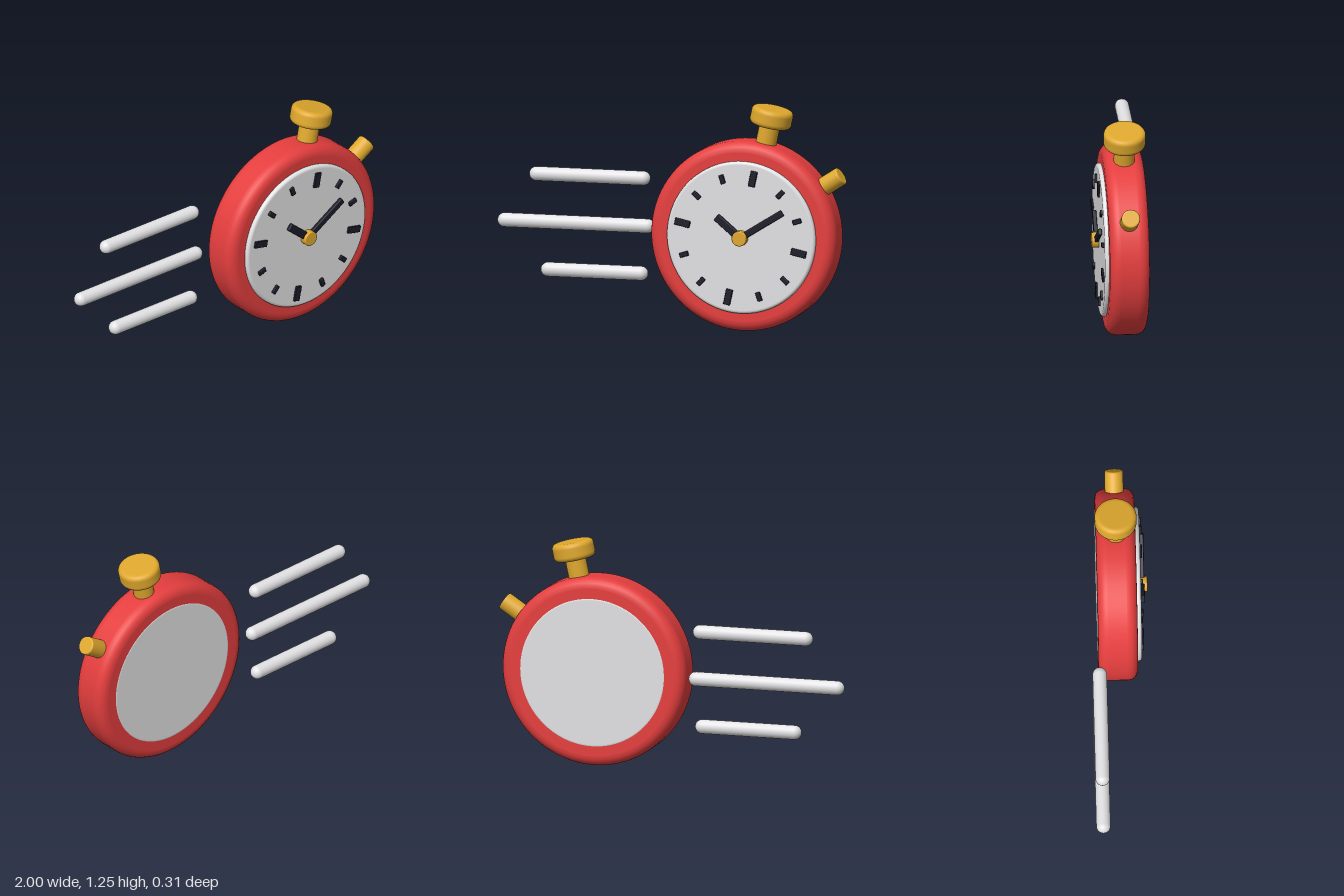
import * as THREE from 'three';
import { RoundedBoxGeometry } from 'three/addons/geometries/RoundedBoxGeometry.js';

const material = (name, color) => {
  const m = new THREE.MeshStandardMaterial({ color });
  m.name = name;
  return m;
};

// Disc with rounded edges, axis along y, from y0 to y1
function roundedDisc(radius, y0, y1, bevel, segments = 64) {
  const pts = [new THREE.Vector2(0, y0), new THREE.Vector2(radius - bevel - 0.003, y0)];
  const arc = (cy, start) => {
    for (let i = 0; i <= 6; i++) {
      const a = start + (i / 6) * Math.PI / 2;
      pts.push(new THREE.Vector2(radius - bevel + bevel * Math.cos(a), cy + bevel * Math.sin(a)));
    }
  };
  arc(y0 + bevel, -Math.PI / 2);
  pts.push(new THREE.Vector2(radius, y0 + bevel + 0.003));
  pts.push(new THREE.Vector2(radius, y1 - bevel - 0.003));
  arc(y1 - bevel, 0);
  pts.push(new THREE.Vector2(radius - bevel - 0.003, y1), new THREE.Vector2(0, y1));
  return new THREE.LatheGeometry(pts, segments);
}

export function createModel() {
  const red = material('red case', 0xe53e3e);
  const white = material('white enamel', 0xe2e2e4);
  const gold = material('gold metal', 0xdfa82e);
  const dark = material('dark ink', 0x1c1c2a);

  const model = new THREE.Group();
  model.name = 'speedingStopwatch';
  const add = (parent, name, geometry, mat) => {
    const mesh = new THREE.Mesh(geometry, mat);
    mesh.name = name;
    parent.add(mesh);
    return mesh;
  };

  // The watch leans 12 degrees clockwise about its centre
  const watch = new THREE.Group();
  watch.name = 'watch';
  watch.position.set(0.44, 0.527, 0);
  watch.rotation.z = THREE.MathUtils.degToRad(-12);
  model.add(watch);

  // Case, and a dial disc that runs through to the back
  add(watch, 'case', roundedDisc(0.524, -0.121, 0.096, 0.055, 96).rotateX(Math.PI / 2), red);
  add(watch, 'dial', roundedDisc(0.42, -0.1225, 0.119, 0.016, 96).rotateX(Math.PI / 2), white);

  // Hour marks, larger at each quarter
  for (let i = 0; i < 12; i++) {
    const big = i % 3 === 0;
    const a = i * Math.PI / 6;
    const mark = add(watch, 'hourMark',
      new RoundedBoxGeometry(big ? 0.038 : 0.027, big ? 0.087 : 0.05, 0.018, 2, 0.004), dark);
    mark.position.set(Math.sin(a) * 0.336, Math.cos(a) * 0.336, 0.122);
    mark.rotation.z = -a;
  }

  // Hands, as clockwise angle from the leaning twelve
  const hand = (name, degrees, length, width) => {
    const geometry = new RoundedBoxGeometry(width, length, 0.022, 2, 0.006);
    geometry.translate(0, length / 2, 0.131);
    add(watch, name, geometry, dark).rotation.z = -THREE.MathUtils.degToRad(degrees);
  };
  hand('hourHand', -62, 0.175, 0.043);
  hand('minuteHand', 46, 0.282, 0.036);
  add(watch, 'handHub', roundedDisc(0.042, 0.1, 0.158, 0.006, 32).rotateX(Math.PI / 2), gold);

  // Crown on top and the small button beside it
  const crown = new THREE.Group();
  crown.name = 'crown';
  crown.position.z = -0.012;
  add(crown, 'crownStem', new THREE.CylinderGeometry(0.057, 0.057, 0.16, 40).translate(0, 0.57, 0), gold);
  add(crown, 'crownCap', roundedDisc(0.115, 0.62, 0.718, 0.025), gold);
  watch.add(crown);

  const button = add(watch, 'sideButton', roundedDisc(0.051, 0.48, 0.638, 0.009, 40), gold);
  button.position.z = -0.012;
  button.rotation.z = THREE.MathUtils.degToRad(-45);

  // Speed streaks trailing behind: start x, end x, height
  for (const [x0, x1, y] of [[-0.82, -0.137, 0.793], [-1, -0.113, 0.53], [-0.755, -0.15, 0.267]]) {
    const r = 0.039;
    const streak = add(model, 'speedStreak',
      new THREE.CapsuleGeometry(r, x1 - x0 - 2 * r, 8, 24).rotateZ(Math.PI / 2), white);
    streak.position.set((x0 + x1) / 2, y, -0.118);
  }
  return model;
}
